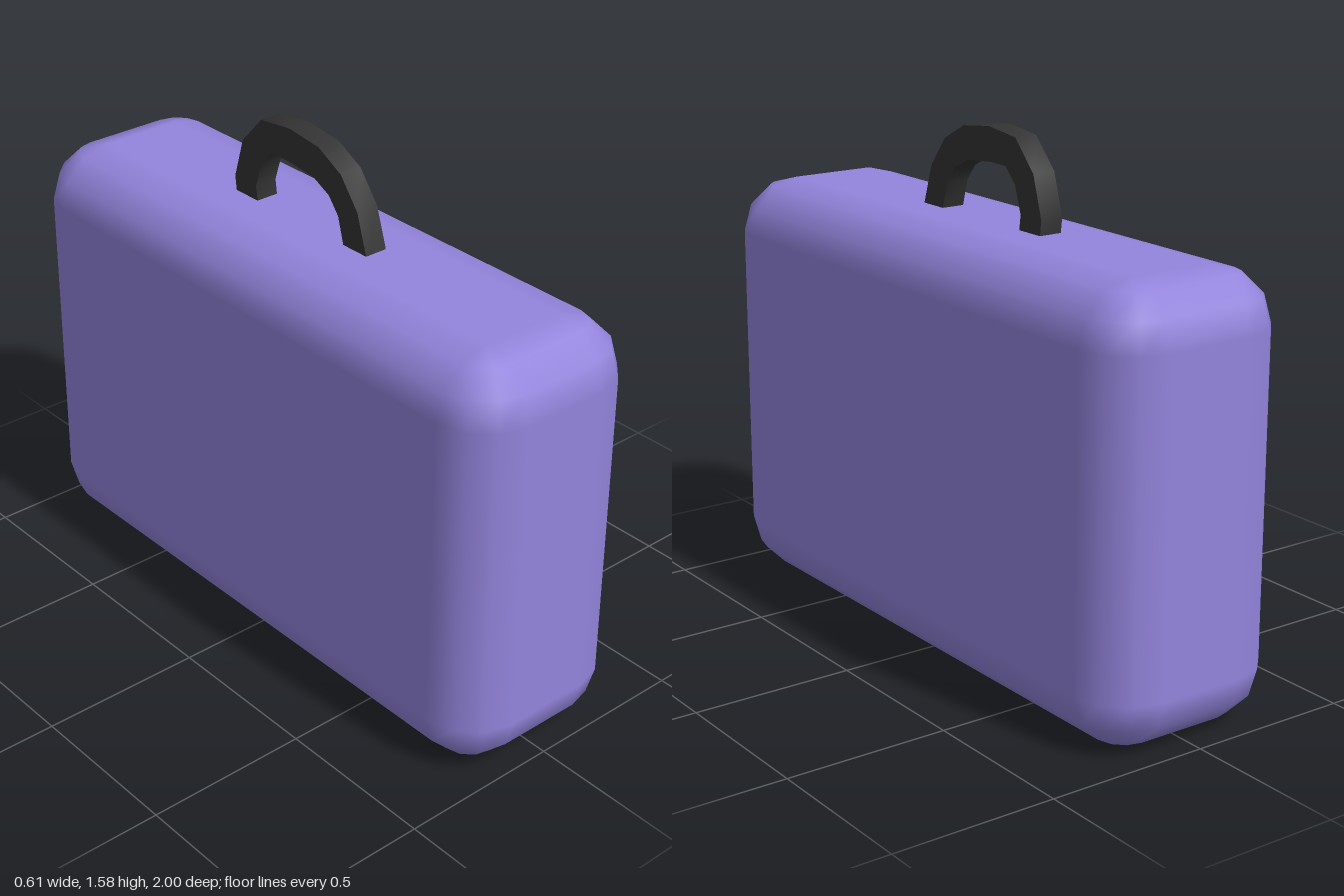
import * as THREE from 'three';
import { toCreasedNormals } from 'three/addons/utils/BufferGeometryUtils.js';

// Box with every edge and corner rounded by a quarter arc of `steps` chords, standing on y = 0
function roundedCase(width, height, depth, radius, steps) {
  const positions = [], normals = [], indices = [];
  const corners = [[1, 1], [-1, 1], [-1, -1], [1, -1]];
  const quarter = Math.PI / 2;
  const perCorner = steps + 1, ring = 4 * perCorner, rings = 2 * perCorner;

  for (let j = 0; j < rings; j++) {
    const upper = j >= perCorner;
    const lat = ((j % perCorner) / steps - (upper ? 0 : 1)) * quarter;
    const centreY = upper ? height - radius : radius;
    corners.forEach(([sx, sz], k) => {
      for (let i = 0; i <= steps; i++) {
        const turn = (k + i / steps) * quarter;
        const n = [Math.cos(lat) * Math.cos(turn), Math.sin(lat), Math.cos(lat) * Math.sin(turn)];
        normals.push(...n);
        positions.push(
          sx * (width / 2 - radius) + n[0] * radius,
          centreY + n[1] * radius,
          sz * (depth / 2 - radius) + n[2] * radius
        );
      }
    });
  }
  for (let j = 0; j < rings - 1; j++) {
    for (let i = 0; i < ring; i++) {
      const a = j * ring + i, b = j * ring + (i + 1) % ring;
      indices.push(a, a + ring, b, b, a + ring, b + ring);
    }
  }
  // Flat bottom and top
  const [p, q, r, s] = [0, 1, 2, 3].map((k) => k * perCorner);
  const top = (rings - 1) * ring;
  indices.push(p, q, r, p, r, s);
  indices.push(top + p, top + r, top + q, top + p, top + s, top + r);

  const geometry = new THREE.BufferGeometry();
  geometry.setAttribute('position', new THREE.Float32BufferAttribute(positions, 3));
  geometry.setAttribute('normal', new THREE.Float32BufferAttribute(normals, 3));
  geometry.setIndex(indices);
  return geometry;
}

// Bent bar of rectangular section; outlines are [z, y] points from front foot to back foot
function bentBar(outer, inner, width) {
  const outline = [...outer, ...inner.slice().reverse()];
  const shape = new THREE.Shape(outline.map(([z, y]) => new THREE.Vector2(-z, y)));
  const geometry = new THREE.ExtrudeGeometry(shape, { depth: width, bevelEnabled: false });
  geometry.translate(0, 0, -width / 2);
  geometry.rotateY(Math.PI / 2);
  return toCreasedNormals(geometry, Math.PI / 4);
}

export function createModel() {
  const model = new THREE.Group();
  model.name = 'suitcase';

  const body = new THREE.Mesh(
    roundedCase(0.61, 1.3, 2, 0.17, 3),
    new THREE.MeshStandardMaterial({ color: 0x9384dc })
  );
  body.name = 'caseBody';

  // Slightly lopsided carrying handle, feet sunk into the top
  const outer = [[0.265, 1.28], [0.22, 1.42], [0.15, 1.51], [0.056, 1.56], [-0.07, 1.575],
    [-0.195, 1.56], [-0.28, 1.47], [-0.318, 1.345], [-0.31, 1.28]];
  const inner = [[0.168, 1.28], [0.14, 1.38], [0.1, 1.43], [0.035, 1.462], [-0.07, 1.473],
    [-0.15, 1.473], [-0.195, 1.425], [-0.222, 1.345], [-0.213, 1.28]];
  const handle = new THREE.Mesh(
    bentBar(outer, inner, 0.073),
    new THREE.MeshStandardMaterial({ color: 0x333333 })
  );
  handle.name = 'handle';

  model.add(body, handle);
  return model;
}
